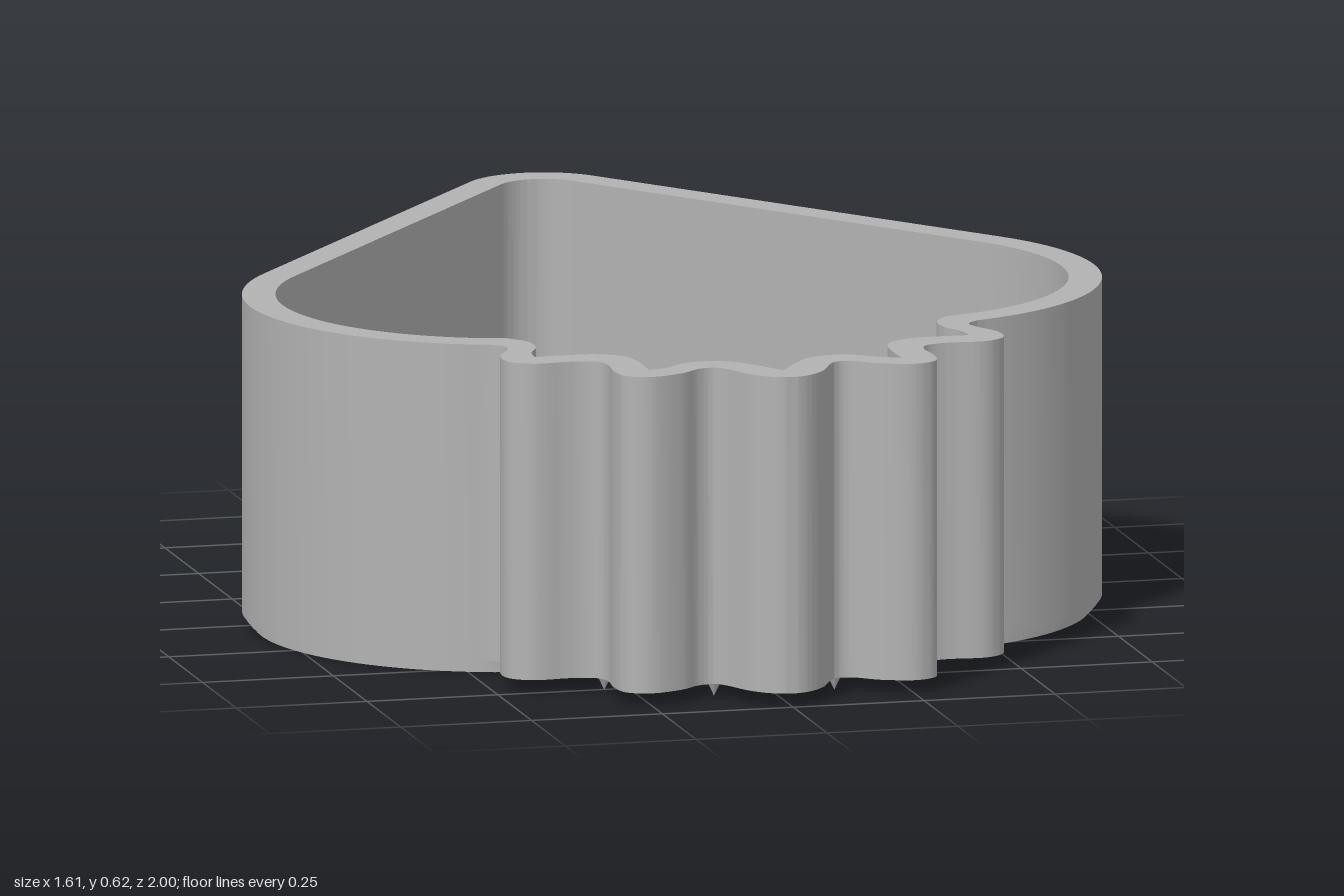
import * as THREE from 'three';
import { toCreasedNormals } from 'three/addons/utils/BufferGeometryUtils.js';

const V = (x, z) => new THREE.Vector2(x, z);

// points on an arc in the ground plane, angles in degrees from +x towards +z
function arc(cx, cz, r, from, to, n) {
  const pts = [];
  for (let i = 0; i <= n; i++) {
    const a = THREE.MathUtils.degToRad(from + ((to - from) * i) / n);
    pts.push(V(cx + r * Math.cos(a), cz + r * Math.sin(a)));
  }
  return pts;
}

// +x half of the teardrop: rounded tip, straight flank, round shoulder
const teardropHalf = (inset, endAngle) => [
  ...arc(0, -0.852, 0.148 - inset, -90, -38.5, 12),
  ...arc(0.325, 0.1, 0.481 - inset, -38.5, endAngle, 36),
];

// mirror a +x half profile (tip to front) into a closed outline
function mirrored(half) {
  const other = half.filter((p) => p.x > 1e-4).reverse().map((p) => V(-p.x, p.y));
  return [...half, ...other];
}

// smooth run of the wavy front edge
const wave = (pts) =>
  new THREE.SplineCurve(pts.map(([x, z]) => V(x, z))).getPoints(pts.length * 6).slice(1);

const outerOutline = mirrored([
  ...teardropHalf(0, 73),
  ...wave([[0.466, 0.56], [0.442, 0.585], [0.45, 0.62], [0.475, 0.67], [0.472, 0.725], [0.43, 0.755],
    [0.36, 0.752], [0.315, 0.765], [0.302, 0.80], [0.306, 0.86], [0.295, 0.91], [0.25, 0.93],
    [0.19, 0.91], [0.15, 0.878], [0.12, 0.872], [0.1, 0.89], [0.07, 0.95], [0.035, 0.985], [0, 0.997]]),
]);
const innerOutline = mirrored([
  ...teardropHalf(0.062, 77),
  ...wave([[0.42, 0.508], [0.39, 0.55], [0.39, 0.605], [0.41, 0.65], [0.415, 0.692]]),
  ...wave([[0.415, 0.692], [0.36, 0.69], [0.30, 0.695], [0.255, 0.725], [0.24, 0.78], [0.241, 0.865]]),
  ...wave([[0.241, 0.865], [0.2, 0.85], [0.165, 0.82], [0.12, 0.81], [0.075, 0.825], [0.04, 0.865], [0, 0.93]]),
]);

// vertical prism between two heights, with optional holes
function prism(outline, y0, y1, holes = []) {
  const shape = new THREE.Shape(outline);
  holes.forEach((h) => shape.holes.push(new THREE.Path(h)));
  const geo = new THREE.ExtrudeGeometry(shape, { depth: y1 - y0, bevelEnabled: false });
  geo.rotateX(Math.PI / 2).translate(0, y1, 0);
  return toCreasedNormals(geo, 0.6);
}

export function createModel() {
  const group = new THREE.Group();
  const grey = new THREE.MeshStandardMaterial({ color: 0xb2b2b2 });
  grey.name = 'grey';
  const add = (name, geo) => {
    const mesh = new THREE.Mesh(geo, grey);
    mesh.name = name;
    group.add(mesh);
    return mesh;
  };

  const BASE = 0.025, FLOOR = 0.09, TOP = 0.622;

  // bowl
  add('wall', prism(outerOutline, BASE, TOP, [innerOutline]));
  add('floor', prism(innerOutline, BASE, FLOOR));

  // centre post with a cross-shaped socket
  const c = 0.012, w = 0.03, l = 0.09;
  const cross = [[w, l], [w, w], [l, w], [l, -w], [w, -w], [w, -l],
    [-w, -l], [-w, -w], [-l, -w], [-l, w], [-w, w], [-w, l]].map(([x, z]) => V(x, z + c));
  add('post', prism(arc(0, c, 0.115, 0, 352.5, 47), FLOOR, 0.28, [cross]));

  // stepped foot plate with round pits
  const pits = [[0, -0.51]];
  [[0.605, 0.24], [0.69, -0.046], [0.52, -0.25], [0.37, -0.53], [0.18, -0.775]]
    .forEach(([x, z]) => pits.push([x, z], [-x, z]));
  const pitHoles = pits.map(([x, z]) => arc(x, z, 0.034, 0, 345, 23));
  [0.006, 0.013, 0.021].forEach((inset, i) => {
    const outline = mirrored([...teardropHalf(inset, 74), V(0.405, 0.545), V(0.34, 0.49)]);
    const y1 = BASE - (i * BASE) / 3;
    add('footPlate', prism(outline, y1 - BASE / 3, y1, pitHoles));
  });

  // small points below the creases of the wavy front
  for (const s of [-1, 1]) {
    for (const [x, z] of [[0.298, 0.755], [0.115, 0.858]]) {
      const cone = new THREE.ConeGeometry(0.012, BASE, 12);
      cone.rotateX(Math.PI);
      add('creasePoint', cone).position.set(s * x, BASE / 2, z);
    }
  }
  return group;
}
